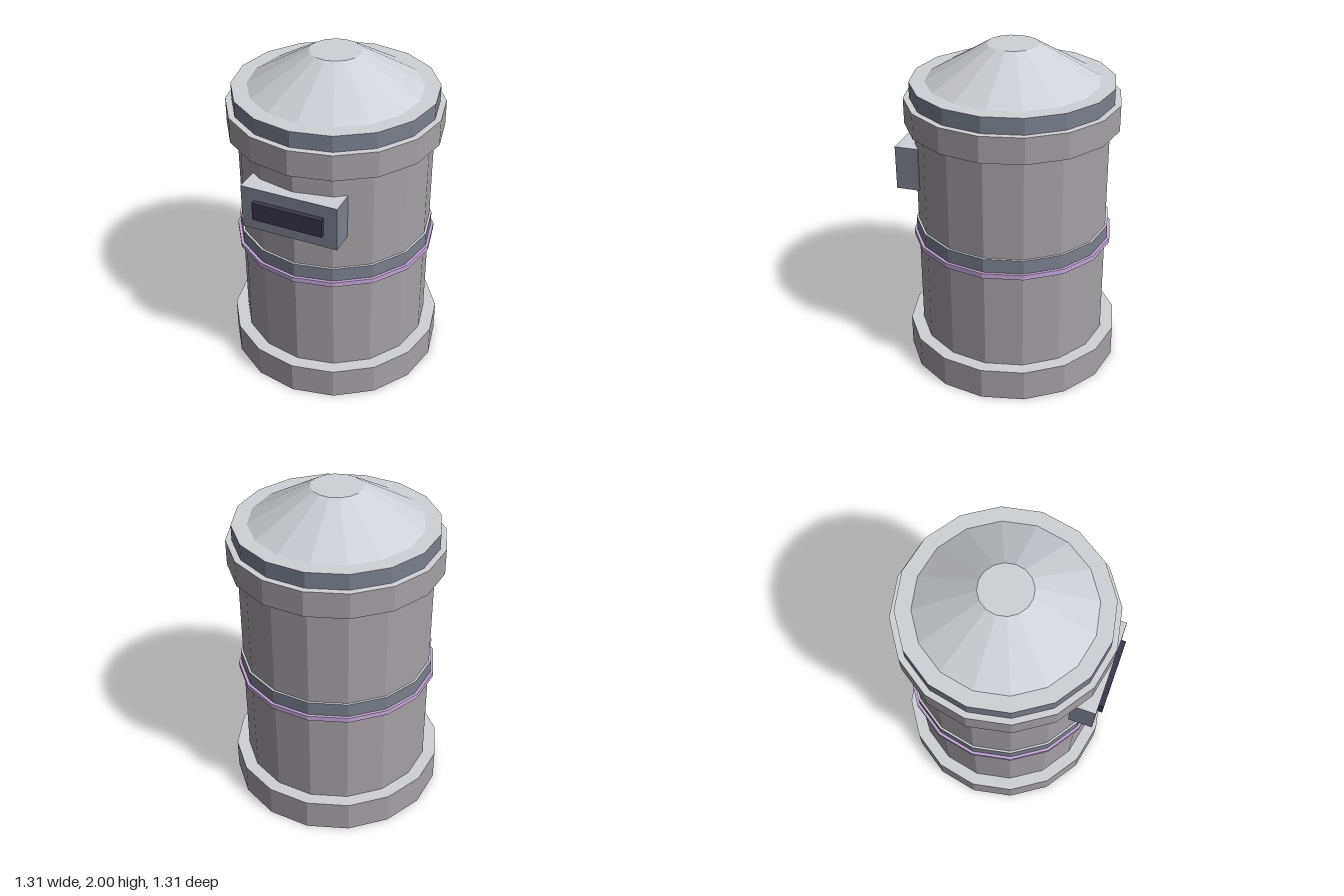
import * as THREE from 'three';

const SIDES = 16;
const CENTRE_Z = -0.004;

function material(name, color) {
  const m = new THREE.MeshStandardMaterial({ color, flatShading: true });
  m.name = name;
  return m;
}

export function createModel() {
  const grey = material('warm grey', 0xa5a1a6);
  const slate = material('slate', 0x7a808d);
  const light = material('light grey', 0xd0d1d6);
  const purple = material('lilac', 0xc3a6d6);
  const dark = material('dark slot', 0x38364a);

  const model = new THREE.Group();
  model.name = 'canister';

  // Sixteen-sided ring or drum: side, top and bottom colours
  function drum(name, rTop, rBottom, y0, y1, side, top = light, bottom = side) {
    const geometry = new THREE.CylinderGeometry(rTop, rBottom, y1 - y0, SIDES);
    const mesh = new THREE.Mesh(geometry, [side, top, bottom]);
    mesh.name = name;
    mesh.position.set(0, (y0 + y1) / 2, CENTRE_Z);
    model.add(mesh);
  }

  function box(name, w, y0, y1, z0, z1, side, top) {
    const geometry = new THREE.BoxGeometry(w, y1 - y0, z1 - z0);
    const mesh = new THREE.Mesh(geometry, [side, side, top, side, side, side]);
    mesh.name = name;
    mesh.position.set(0, (y0 + y1) / 2, (z0 + z1) / 2);
    model.add(mesh);
  }

  // Drum, from the foot up to the lid
  drum('base', 0.653, 0.653, 0, 0.195, grey);
  drum('body', 0.575, 0.575, 0.195, 1.54, grey);
  drum('accentRing', 0.605, 0.605, 0.81, 0.84, purple, purple);
  drum('middleBand', 0.588, 0.588, 0.84, 0.925, slate);
  drum('collar', 0.632, 0.632, 1.54, 1.695, grey);
  drum('lidBand', 0.596, 0.596, 1.695, 1.79, slate);
  drum('lid', 0.15, 0.505, 1.79, 2, light);

  // Front housing with its dark slot
  box('slotHousing', 0.578, 1.138, 1.405, 0.485, 0.628, slate, light);
  box('slot', 0.42, 1.218, 1.328, 0.6, 0.657, dark, dark);

  return model;
}
